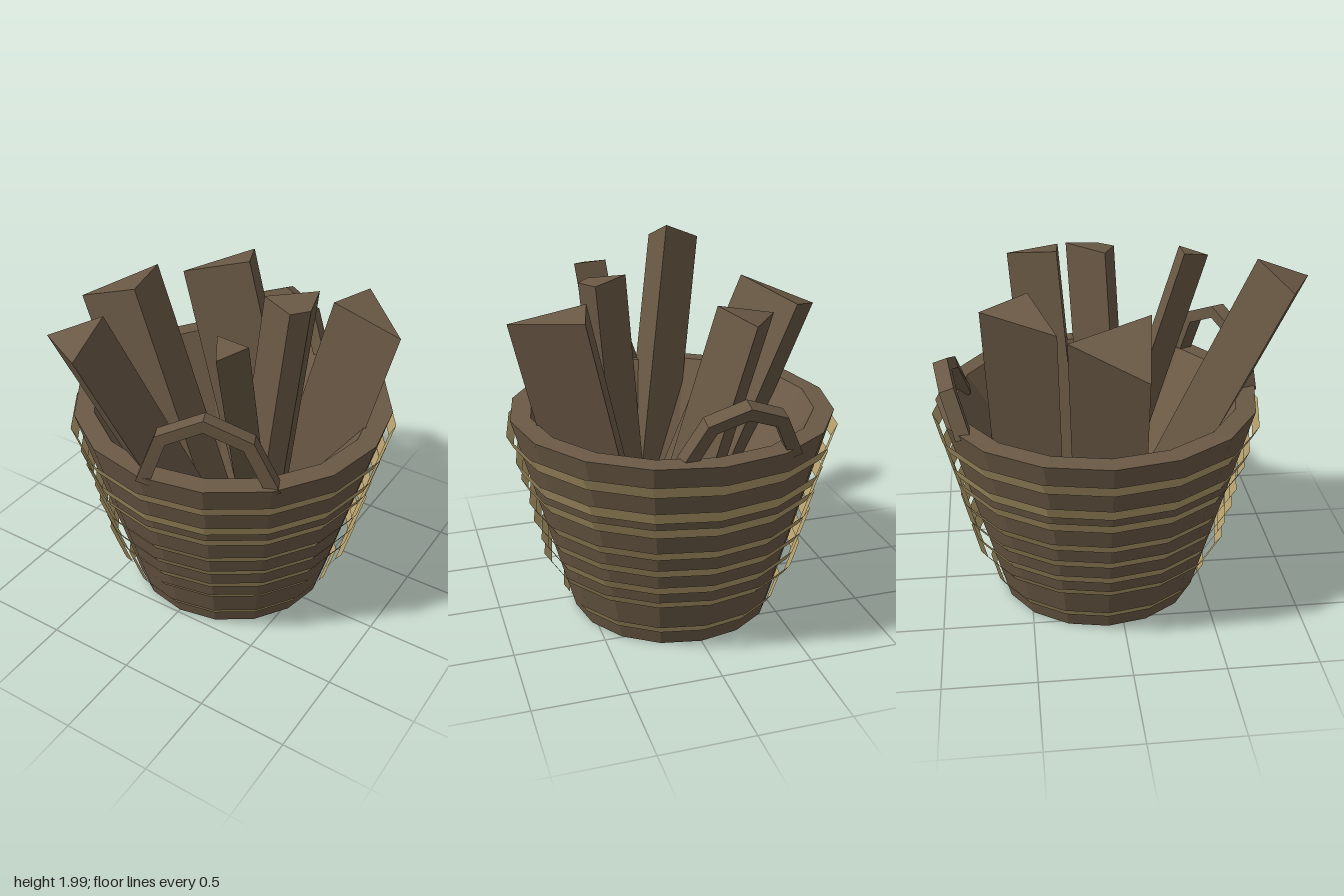
import * as THREE from 'three';
import { ConvexGeometry } from 'three/addons/geometries/ConvexGeometry.js';

const V = (p) => new THREE.Vector3(...p);

export function createModel() {
  const model = new THREE.Group();
  model.name = 'firewoodBasket';

  const wood = new THREE.MeshStandardMaterial({ color: 0x6a5945 });
  wood.name = 'brown wood';
  const straw = new THREE.MeshStandardMaterial({ color: 0xb39e6c, side: THREE.DoubleSide });
  straw.name = 'tan straw';

  const add = (name, geometry, material, parent = model) => {
    const mesh = new THREE.Mesh(geometry, material);
    mesh.name = name;
    parent.add(mesh);
    return mesh;
  };

  // Faceted 16-sided turning, centred on the basket axis
  const turned = (profile) => {
    const g = new THREE.LatheGeometry(profile.map(([r, y]) => new THREE.Vector2(r, y)), 16).toNonIndexed();
    g.computeVertexNormals();
    return g.translate(0, 0, -0.09);
  };

  // Basket shell with a hollow, funnel-shaped inside
  add('basketBody', turned([[0, 0], [0.57, 0], [0.89, 1.175], [0.78, 1.18], [0, 0.1]]), wood);

  // Flared woven bands: bottom y, top y, bottom radius, top radius
  const bands = [
    [0.09, 0.14, 0.605, 0.637], [0.3, 0.355, 0.7, 0.74], [0.39, 0.45, 0.717, 0.753],
    [0.51, 0.57, 0.752, 0.79], [0.62, 0.68, 0.772, 0.81], [0.765, 0.83, 0.812, 0.847],
    [0.86, 0.93, 0.84, 0.872], [1.02, 1.09, 0.88, 0.915],
  ];
  bands.forEach(([y0, y1, r0, r1], i) => add(`wovenBand${i + 1}`, turned([[r0, y0], [r1, y1]]), straw));

  // Split logs: corners of the upper end, lean per unit of descent, descent
  const logs = [
    ['frontLog', [[-0.46, 1.88, 0.86], [-0.19, 1.88, 1.0], [-0.22, 1.99, 0.72]], [0.23, -1, -0.38], 1.5],
    ['leftLeaningLog', [[-0.9, 1.63, 0.08], [-0.48, 1.81, 0.14], [-0.64, 1.74, -0.29]], [0.4, -1, 0.04], 1.3],
    ['backLog', [[-0.49, 1.72, -0.33], [-0.25, 1.77, -0.71], [-0.13, 1.82, -0.46]], [0.29, -1, 0.03], 1.3],
    ['rightLeaningLog', [[0.5, 1.83, -0.27], [0.57, 1.81, -0.55], [0.9, 1.75, -0.24]], [-0.23, -1, 0.07], 1.25],
    ['middleLog', [[0.23, 1.9, -0.02], [0.44, 1.9, -0.22], [0.49, 1.88, -0.04], [0.42, 1.88, 0.05]], [-0.09, -1, 0.05], 1.4],
    ['thinLog', [[0.23, 1.88, 0.42], [0.41, 1.87, 0.42], [0.32, 1.84, 0.57]], [-0.09, -1, -0.33], 1.3],
  ];
  for (const [name, corners, lean, drop] of logs) {
    const top = corners.map(V);
    const bottom = top.map((p) => p.clone().addScaledVector(V(lean), drop));
    add(name, new ConvexGeometry([...top, ...bottom]), wood);
  }

  // Arched handles: square bars joined with mitres along a five-point path
  const handle = (name, path) => {
    const group = new THREE.Group();
    group.name = name;
    const pts = path.map(V);
    const across = pts[4].clone().sub(pts[0]);
    const side = across.clone().cross(pts[2].clone().sub(pts[0])).normalize();
    const rings = pts.map((p, i) => {
      const dir = pts[Math.min(i + 1, 4)].clone().sub(pts[Math.max(i - 1, 0)]);
      const out = side.clone().cross(dir).normalize();
      return [[1, 1], [1, -1], [-1, -1], [-1, 1]].map(([a, b]) =>
        p.clone().addScaledVector(out, a * 0.035).addScaledVector(side, b * 0.04));
    });
    for (let i = 0; i < 4; i++) {
      add(`${name}Bar${i + 1}`, new ConvexGeometry([...rings[i], ...rings[i + 1]]), wood, group);
    }
    model.add(group);
  };
  handle('frontHandle', [[0.0, 1.14, 0.76], [0.1, 1.42, 0.73], [0.29, 1.515, 0.63], [0.49, 1.41, 0.53], [0.61, 1.14, 0.48]]);
  handle('backHandle', [[0.16, 1.14, -0.83], [0.05, 1.36, -0.89], [-0.13, 1.43, -0.92], [-0.31, 1.36, -0.89], [-0.42, 1.14, -0.82]]);

  return model;
}
